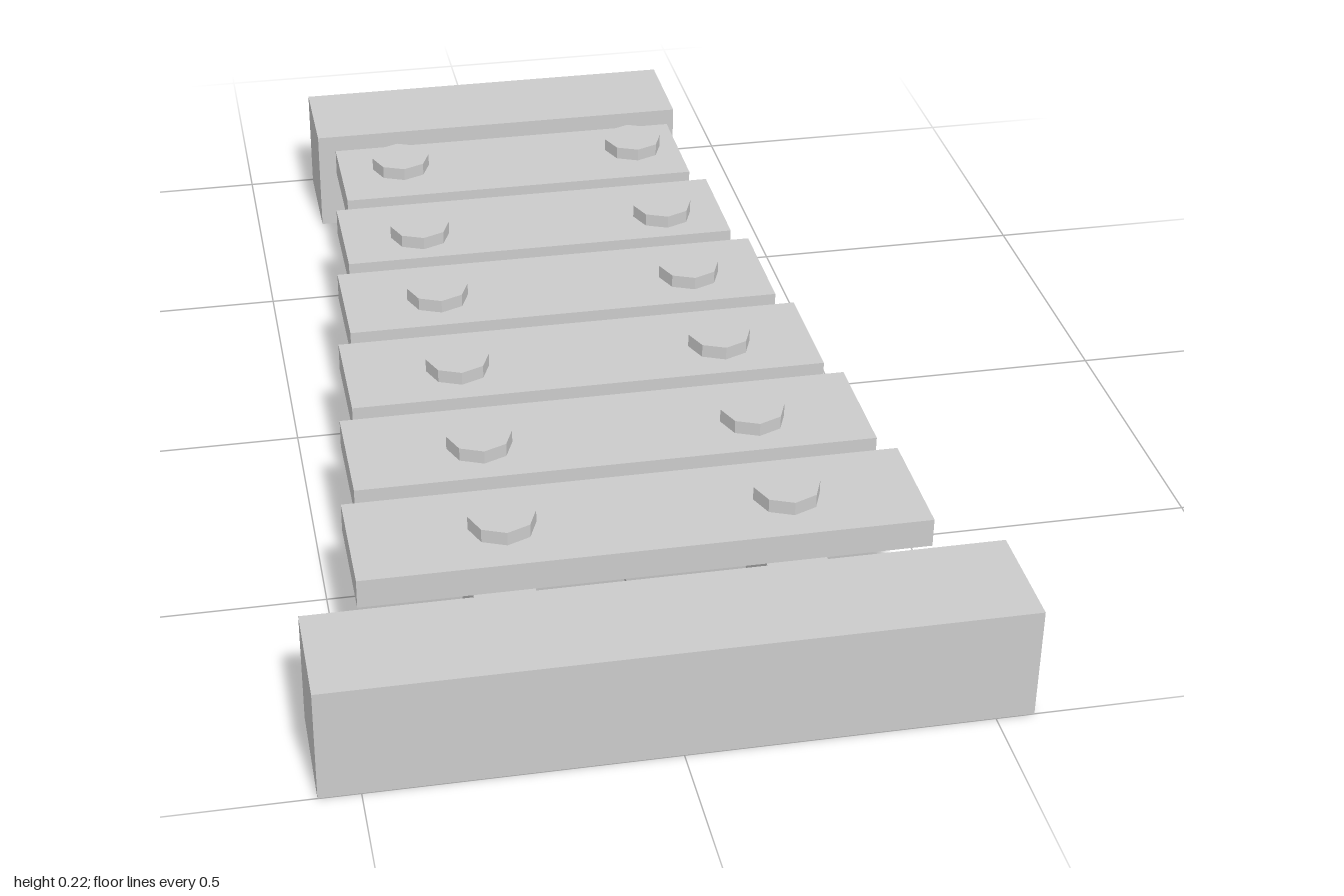
import * as THREE from 'three';

export function createModel() {
  const group = new THREE.Group();
  const material = new THREE.MeshStandardMaterial({ color: 0xcccccc, flatShading: true });

  // Box given by its limits on each axis
  function box(name, [x0, x1], [y0, y1], [z0, z1]) {
    const mesh = new THREE.Mesh(new THREE.BoxGeometry(x1 - x0, y1 - y0, z1 - z0), material);
    mesh.position.set((x0 + x1) / 2, (y0 + y1) / 2, (z0 + z1) / 2);
    mesh.name = name;
    group.add(mesh);
  }

  // End blocks
  box('frontBlock', [-0.567, 0.563], [0, 0.198], [0.804, 1]);
  box('backBlock', [-0.371, 0.367], [0, 0.198], [-0.994, -0.799]);

  // Rails running between the blocks; the left one pokes out slightly at the back
  box('leftRail', [0.19, 0.29], [0.052, 0.15], [-1, 0.82]);
  box('rightRail', [-0.286, -0.186], [0.052, 0.15], [-0.985, 0.82]);

  // Six sounding bars, shorter towards the back, each held by two bolts
  const boltZ = [0.625, 0.387, 0.136, -0.115, -0.354, -0.638];
  const boltGeometry = new THREE.CylinderGeometry(0.056, 0.056, 0.035, 8);
  const pitch = 0.25;
  boltZ.forEach((z, i) => {
    const half = 0.468 - i * 0.0255;
    const centre = 0.627 - i * pitch;
    box('bar' + (i + 1), [-0.002 - half, -0.002 + half], [0.15, 0.201], [centre - 0.107, centre + 0.107]);

    for (const [side, x] of [['left', 0.248], ['right', -0.222]]) {
      const bolt = new THREE.Mesh(boltGeometry, material);
      bolt.position.set(x, 0.2075, z);
      bolt.name = side + 'Bolt' + (i + 1);
      group.add(bolt);
    }
  });

  return group;
}
